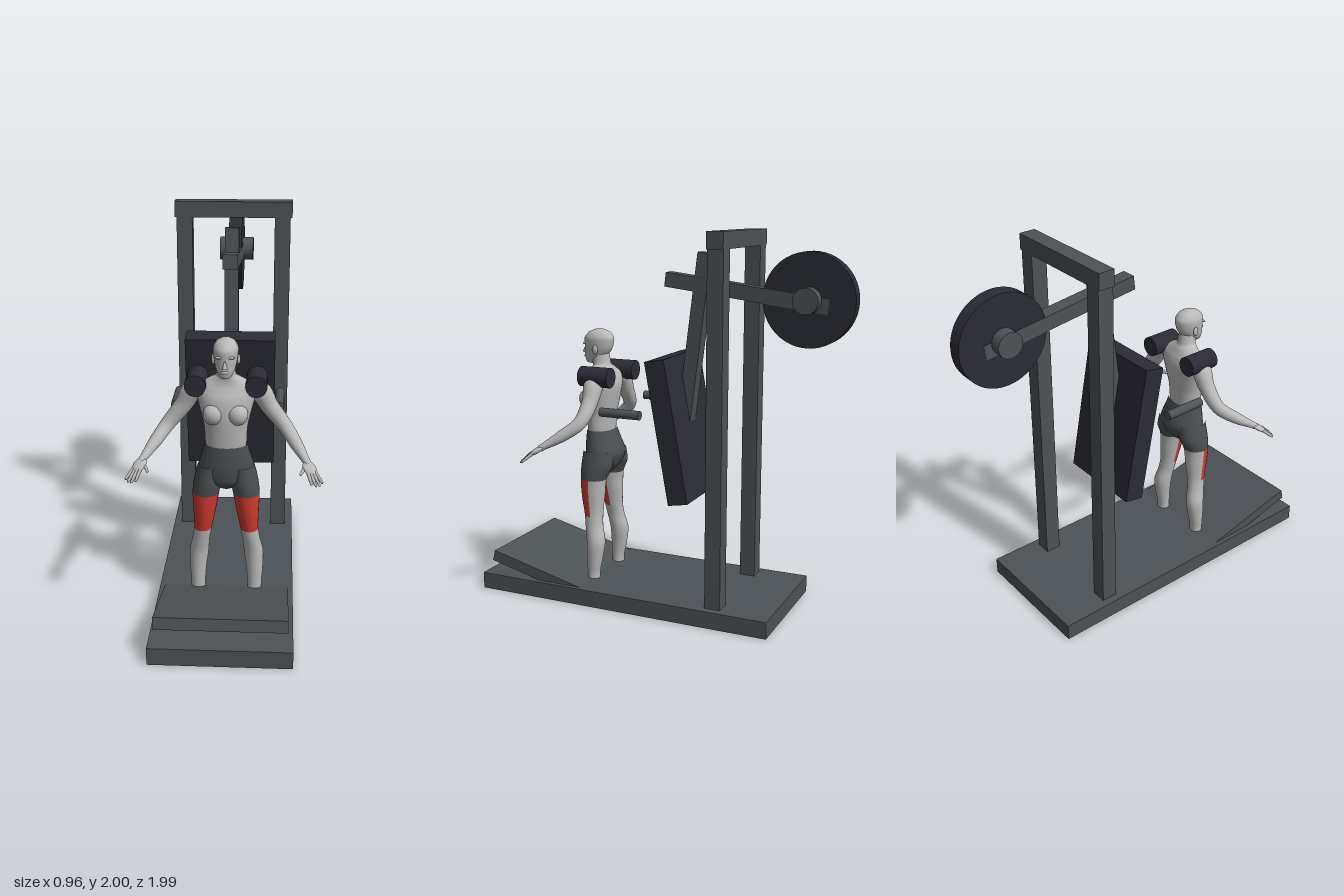
import * as THREE from 'three';
import { mergeVertices } from 'three/addons/utils/BufferGeometryUtils.js';

const mat = (name, color) => {
  const m = new THREE.MeshStandardMaterial({ color });
  m.name = name;
  return m;
};

// Sweeps ellipses along a spline. Rows: [x, y, z, radiusU, radiusV].
// flat keeps the rings horizontal; from/to pick a range of rows, a0/a1 a range of angles.
function loft(rows, { flat = false, from = 0, to = rows.length - 1, a0 = 0, a1 = Math.PI * 2, segs = 24, sub = 5 } = {}) {
  const path = new THREE.CatmullRomCurve3(rows.map(r => new THREE.Vector3(r[0], r[1], r[2])));
  const size = new THREE.CatmullRomCurve3(rows.map(r => new THREE.Vector3(r[3], r[4], 0)));
  const steps = (to - from) * sub, pos = [], idx = [];
  const front = new THREE.Vector3(0, 0, 1);
  for (let i = 0; i <= steps; i++) {
    const t = (from + i / sub) / (rows.length - 1);
    const c = path.getPoint(t), r = size.getPoint(t);
    const T = flat ? new THREE.Vector3(0, 1, 0) : path.getTangent(t);
    const u = T.clone().cross(front).normalize(), v = u.clone().cross(T);
    for (let j = 0; j <= segs; j++) {
      const a = a0 + (a1 - a0) * j / segs;
      const p = c.clone().addScaledVector(u, Math.cos(a) * r.x).addScaledVector(v, Math.sin(a) * r.y);
      pos.push(p.x, p.y, p.z);
      if (i < steps && j < segs) {
        const k = i * (segs + 1) + j, n = k + segs + 1;
        idx.push(k, n, k + 1, n, n + 1, k + 1);
      }
    }
  }
  let g = new THREE.BufferGeometry();
  g.setAttribute('position', new THREE.Float32BufferAttribute(pos, 3));
  g.setIndex(idx);
  g = mergeVertices(g, 1e-5);
  g.computeVertexNormals();
  return g;
}

export function createModel() {
  const root = new THREE.Group();
  root.name = 'legPressMachineWithFigure';
  const steel = mat('steel grey', 0x4d5256);
  const pad = mat('dark padding', 0x2b2b36);
  const skin = mat('figure grey', 0xb9b9b9);
  const cloth = mat('shorts grey', 0x4a4e50);
  const red = mat('muscle red', 0xd13a30);

  const add = (name, geo, material, p = [0, 0, 0], rot = [0, 0, 0], s = [1, 1, 1]) => {
    const m = new THREE.Mesh(geo, material);
    m.name = name;
    m.position.set(...p);
    m.rotation.set(...rot);
    m.scale.set(...s);
    root.add(m);
    return m;
  };
  const box = (name, size, material, p, rx = 0) => add(name, new THREE.BoxGeometry(...size), material, p, [rx, 0, 0]);
  const ball = (name, material, p, s) => add(name, new THREE.SphereGeometry(1, 20, 14), material, p, [0, 0, 0], s);
  const both = fn => [[1, 'left'], [-1, 'right']].forEach(([s, n]) => fn(s, n));

  // Frame
  box('base', [0.7, 0.09, 1.68], steel, [0, 0.045, 0.16]);
  box('footPlate', [0.65, 0.06, 0.6], steel, [0, 0.121, 0.652], -0.24);
  box('topBeam', [0.635, 0.085, 0.088], steel, [0, 1.9575, -0.372]);
  both((s, n) => box(n + 'Post', [0.085, 1.83, 0.085], steel, [s * 0.265, 1.005, -0.372]));

  // Back pad, its arm and the weighted lever
  box('backPad', [0.475, 0.76, 0.11], pad, [0, 0.973, -0.08], 0.177);
  box('padArm', [0.074, 0.905, 0.075], steel, [0, 1.435, -0.148], -0.126);
  box('lever', [0.078, 0.075, 0.88], steel, [0, 1.69, -0.4235], -0.125);
  add('weightDisc', new THREE.CylinderGeometry(0.237, 0.237, 0.074, 48), pad, [0, 1.665, -0.757], [0, 0, Math.PI / 2]);
  add('weightHub', new THREE.CylinderGeometry(0.066, 0.066, 0.194, 32), steel, [0, 1.665, -0.757], [0, 0, Math.PI / 2]);

  // Shoulder rollers and handles
  both((s, n) => {
    add(n + 'ShoulderRoller', new THREE.CylinderGeometry(0.054, 0.054, 0.175, 32), pad, [s * 0.15, 1.223, 0.367], [Math.PI / 2, 0, 0]);
    add(n + 'Handle', new THREE.CylinderGeometry(0.024, 0.024, 0.228, 20), steel, [s * 0.265, 1.062, 0.167], [Math.PI / 2, 0, 0]);
  });

  // Torso and neck
  add('torso', loft([
    [0, 0.89, 0.415, 0.098, 0.068], [0, 0.92, 0.415, 0.104, 0.07], [0, 1.0, 0.415, 0.108, 0.078],
    [0, 1.08, 0.41, 0.125, 0.088], [0, 1.16, 0.4, 0.145, 0.088], [0, 1.21, 0.395, 0.15, 0.07],
    [0, 1.25, 0.4, 0.09, 0.055], [0, 1.275, 0.41, 0.05, 0.05], [0, 1.34, 0.42, 0.042, 0.05],
  ], { flat: true, segs: 32 }), skin);
  both((s, n) => ball(n + 'Chest', skin, [s * 0.06, 1.085, 0.465], [0.052, 0.055, 0.052]));

  // Head
  add('head', loft([
    [0, 1.272, 0.472, 0.003, 0.004], [0, 1.28, 0.467, 0.026, 0.034], [0, 1.315, 0.446, 0.047, 0.064],
    [0, 1.36, 0.43, 0.058, 0.08], [0, 1.41, 0.425, 0.063, 0.086], [0, 1.445, 0.422, 0.048, 0.063],
    [0, 1.461, 0.42, 0.022, 0.028], [0, 1.466, 0.42, 0.001, 0.001],
  ], { flat: true }), skin);
  add('nose', new THREE.ConeGeometry(0.013, 0.05, 12), skin, [0, 1.357, 0.51], [-0.2, 0, 0]);
  ball('lips', skin, [0, 1.313, 0.505], [0.02, 0.009, 0.009]);
  both((s, n) => {
    ball(n + 'Ear', skin, [s * 0.062, 1.355, 0.42], [0.009, 0.026, 0.016]);
    ball(n + 'Brow', skin, [s * 0.027, 1.385, 0.498], [0.022, 0.007, 0.009]);
  });

  // Shorts over the hips
  add('shortsHips', loft([
    [0, 0.655, 0.4, 0.004, 0.006], [0, 0.68, 0.4, 0.06, 0.05], [0, 0.72, 0.4, 0.135, 0.085],
    [0, 0.78, 0.395, 0.142, 0.1], [0, 0.86, 0.408, 0.122, 0.086], [0, 0.912, 0.415, 0.108, 0.074],
  ], { flat: true, segs: 32 }), cloth);

  // Legs, each one surface split into calf, thigh front, thigh back and shorts
  both((s, n) => {
    const leg = [
      [0.148, 0.05, 0.4, 0.036, 0.034], [0.148, 0.12, 0.4, 0.037, 0.035], [0.148, 0.2, 0.393, 0.043, 0.044],
      [0.142, 0.3, 0.388, 0.05, 0.052], [0.13, 0.38, 0.403, 0.045, 0.05], [0.12, 0.44, 0.41, 0.046, 0.052],
      [0.11, 0.55, 0.417, 0.058, 0.066], [0.103, 0.645, 0.417, 0.068, 0.073],
      [0.092, 0.72, 0.402, 0.07, 0.09], [0.08, 0.8, 0.4, 0.062, 0.085],
    ].map(([x, ...r]) => [s * x, ...r]);
    const part = (name, m, o) => add(n + name, loft(leg, { flat: true, ...o }), m);
    part('LowerLeg', skin, { to: 5 });
    part('ThighFront', red, { from: 5, to: 7, a1: Math.PI, segs: 12 });
    part('ThighBack', skin, { from: 5, to: 7, a0: Math.PI, segs: 12 });
    part('ShortsLeg', cloth, { from: 7 });
  });

  // Arms and hands
  both((s, n) => {
    const limb = (name, rows, o) => add(n + name, loft(rows.map(([x, ...r]) => [s * x, ...r]), o), skin);
    limb('Arm', [
      [0.1, 1.2, 0.385, 0.03, 0.03], [0.165, 1.18, 0.375, 0.053, 0.053], [0.215, 1.1, 0.372, 0.045, 0.043],
      [0.295, 1.0, 0.39, 0.037, 0.036], [0.35, 0.935, 0.465, 0.032, 0.032], [0.4, 0.88, 0.55, 0.019, 0.019],
      [0.41, 0.868, 0.568, 0.018, 0.018],
    ]);
    const palm = ball(n + 'Palm', skin, [s * 0.415, 0.858, 0.583], [0.034, 0.014, 0.046]);
    palm.rotation.set(0.55, s * 0.45, 0, 'YXZ');
    // Fingers fan out from the palm
    for (let i = 0; i < 4; i++) {
      const k = (i - 1.5) * 0.014, reach = i === 0 || i === 3 ? 0.85 : 1;
      const at = (t, r) => [0.425 + 0.032 * t * reach + k * (0.85 + t * 0.4), 0.845 - 0.05 * t * reach, 0.605 + 0.055 * t * reach - k * 0.5, r, r];
      limb('Finger' + (i + 1), [at(0, 0.009), at(0.5, 0.008), at(0.93, 0.006), at(1, 0.0005)], { segs: 8, sub: 3 });
    }
    limb('Thumb', [
      [0.4, 0.86, 0.575, 0.011, 0.011], [0.383, 0.852, 0.6, 0.009, 0.009],
      [0.372, 0.84, 0.622, 0.007, 0.007], [0.37, 0.836, 0.628, 0.0005, 0.0005],
    ], { segs: 8, sub: 3 });
  });

  return root;
}
